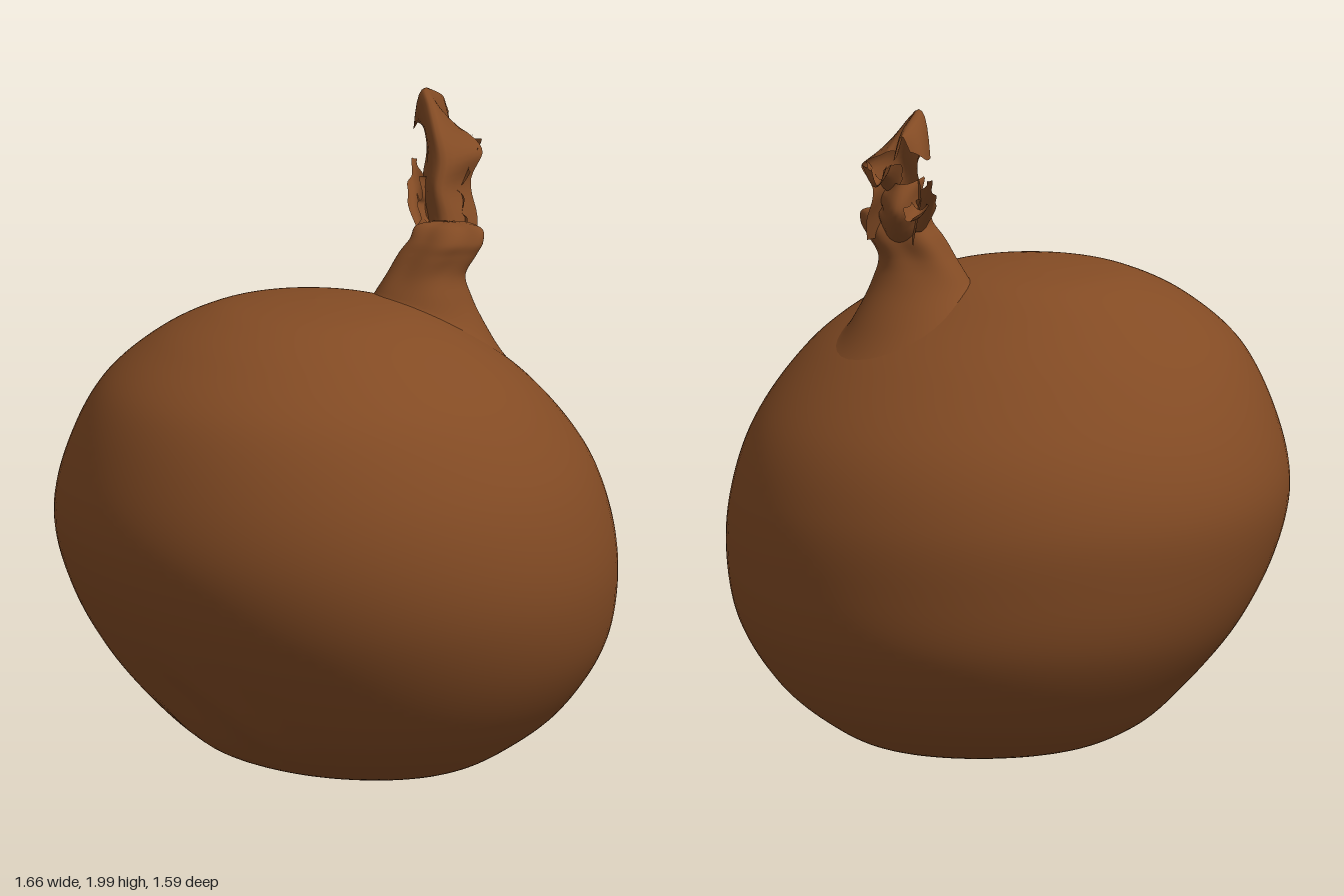
import * as THREE from 'three';

const skin = new THREE.MeshStandardMaterial({ color: 0x834b24 });
skin.name = 'brown skin';
const drySkin = skin.clone();
drySkin.name = 'dry brown skin';
drySkin.side = THREE.DoubleSide;

// Smooth sampling through rows of numbers
function sample(rows, t) {
  const f = Math.min(t, 0.99999) * (rows.length - 1);
  const i = Math.floor(f), s = f - i;
  const at = (k) => rows[Math.max(0, Math.min(rows.length - 1, k))];
  return rows[0].map((_, c) => {
    const a = at(i - 1)[c], b = at(i)[c], d = at(i + 1)[c], e = at(i + 2)[c];
    return b + 0.5 * s * (d - a + s * (2 * a - 5 * b + 4 * d - e + s * (3 * (b - d) + e - a)));
  });
}

// Grid surface; wrap joins the last column to the first
function grid(nu, nv, wrap, point) {
  const pos = [], index = [], cols = wrap ? nu : nu + 1;
  for (let j = 0; j <= nv; j++)
    for (let i = 0; i < cols; i++) pos.push(...point(i / nu, j / nv));
  for (let j = 0; j < nv; j++)
    for (let i = 0; i < nu; i++) {
      const k = (i + 1) % cols;
      const a = j * cols + i, b = j * cols + k, c = a + cols, d = b + cols;
      index.push(a, c, b, b, c, d);
    }
  const g = new THREE.BufferGeometry();
  g.setAttribute('position', new THREE.Float32BufferAttribute(pos, 3));
  g.setIndex(index);
  g.computeVertexNormals();
  return g;
}

// Stack of oval slices: [y, xMin, xMax, zMin, zMax]
function slices(rows, nu, nv, adjust) {
  return grid(nu, nv, true, (u, v) => {
    const [y, x0, x1, z0, z1] = sample(rows, v), a = u * Math.PI * 2;
    return adjust([
      (x0 + x1) / 2 + Math.cos(a) * (x1 - x0) / 2, y,
      (z0 + z1) / 2 + Math.sin(a) * (z1 - z0) / 2,
    ], a);
  });
}

// Curled papery strip: [x, y, z, halfWidth, edgeDropY, edgeDropZ]
function strip(rows, ragged = 0.007) {
  return grid(10, 36, false, (u, v) => {
    const [x, y, z, w, cy, cz] = sample(rows, v), s = u * 2 - 1;
    const wave = ragged * Math.sin(v * 17 + s * 2) * s * s;
    return [x + s * w + wave * Math.sign(s), y + cy * s * s + wave, z + cz * s * s];
  });
}

const bulb = [
  [0.003, 0.2, 0.2, -0.05, -0.05],
  [0.03, -0.2, 0.375, -0.33, 0.17],
  [0.1, -0.4, 0.515, -0.51, 0.35],
  [0.22, -0.54, 0.665, -0.65, 0.52],
  [0.4, -0.69, 0.785, -0.755, 0.66],
  [0.6, -0.79, 0.83, -0.787, 0.76],
  [0.8, -0.833, 0.815, -0.78, 0.795],
  [1.0, -0.79, 0.745, -0.7, 0.76],
  [1.2, -0.685, 0.6, -0.525, 0.66],
  [1.34, -0.53, 0.42, -0.35, 0.5],
  [1.42, -0.37, 0.25, -0.22, 0.35],
  [1.45, -0.22, 0.1, -0.08, 0.22],
  [1.46, -0.05, -0.05, 0.06, 0.06],
];

// Height of the upper bulb surface above a point, by halving
function bulbTop(x, z) {
  let lo = 0.5, hi = 1;
  for (let i = 0; i < 24; i++) {
    const mid = (lo + hi) / 2;
    const [, x0, x1, z0, z1] = sample(bulb, mid);
    const r = Math.hypot((2 * x - x0 - x1) / (x1 - x0), (2 * z - z0 - z1) / (z1 - z0));
    if (r < 1) lo = mid; else hi = mid;
  }
  return sample(bulb, lo)[0];
}

export function createModel() {
  const group = new THREE.Group();
  const add = (name, geometry, material) => {
    const mesh = new THREE.Mesh(geometry, material);
    mesh.name = name;
    group.add(mesh);
  };

  // Bulb, with shallow diagonal ridges around the root scar
  const root = new THREE.Vector3(-0.26, 0.24, 0.43);
  const out = new THREE.Vector3(-0.45, -0.65, 0.6).normalize();
  add('bulb', slices(bulb, 96, 96, ([x, y, z]) => {
    const d = Math.hypot(x - root.x, y - root.y, z - root.z);
    const ridge = Math.cos(22 * (x + y - 0.13));
    const h = 0.014 * Math.exp(-((d / 0.24) ** 4)) * ridge;
    return [x + out.x * h, Math.max(0, y + out.y * h), z + out.z * h];
  }), skin);

  // Neck whose foot melts into the bulb, with light pleats above
  const neck = [
    [1.25, -0.02, 0.5, -0.42, 0.04],
    [1.35, 0.03, 0.43, -0.335, -0.01],
    [1.43, 0.08, 0.375, -0.27, -0.05],
    [1.5, 0.125, 0.355, -0.245, -0.085],
    [1.56, 0.16, 0.385, -0.245, -0.1],
    [1.6, 0.19, 0.405, -0.24, -0.11],
    [1.64, 0.21, 0.395, -0.225, -0.145],
    [1.652, 0.29, 0.31, -0.195, -0.185],
  ];
  add('neck', slices(neck, 64, 56, ([x, y, z], a) => {
    const foot = bulbTop(x, z) - 0.005;
    const k = THREE.MathUtils.smoothstep(y, 1.25, 1.46);
    const pleat = 0.006 * Math.sin(a * 5) * THREE.MathUtils.smoothstep(y, 1.42, 1.55);
    return [
      x + pleat * Math.cos(a), foot + Math.max(0, y - foot) * k, z + pleat * Math.sin(a),
    ];
  }), skin);

  // Withered leaf hooking backwards into a hood
  add('mainLeaf', strip([
    [0.29, 1.56, -0.17, 0.07, 0, -0.1],
    [0.28, 1.65, -0.2, 0.08, 0, -0.13],
    [0.26, 1.74, -0.21, 0.07, 0, -0.15],
    [0.265, 1.82, -0.24, 0.085, -0.01, -0.16],
    [0.24, 1.9, -0.28, 0.07, -0.04, -0.17],
    [0.21, 1.96, -0.34, 0.06, -0.09, -0.12],
    [0.18, 1.995, -0.41, 0.05, -0.13, -0.04],
    [0.19, 1.965, -0.5, 0.05, -0.1, -0.02],
    [0.2, 1.94, -0.555, 0.02, -0.05, 0],
  ]), drySkin);

  // Folded back of the leaf base
  add('leafBase', strip([
    [0.28, 1.54, -0.21, 0.06, 0.02, 0.03],
    [0.27, 1.6, -0.31, 0.07, 0.04, 0.08],
    [0.26, 1.67, -0.365, 0.065, 0.02, 0.1],
    [0.25, 1.75, -0.33, 0.05, 0.01, 0.06],
  ]), drySkin);

  // Shreds of dry skin
  add('upperShred', strip([
    [0.29, 1.72, -0.3, 0.045, 0.05, 0],
    [0.3, 1.77, -0.37, 0.04, 0.05, 0],
    [0.3, 1.765, -0.46, 0.035, 0.06, 0],
    [0.28, 1.785, -0.525, 0.02, 0.05, 0],
  ]), drySkin);
  add('longShred', strip([
    [0.24, 1.62, -0.25, 0.03, 0.02, 0],
    [0.19, 1.68, -0.35, 0.022, 0.02, 0],
    [0.18, 1.675, -0.46, 0.032, 0.03, 0],
    [0.18, 1.685, -0.56, 0.012, 0.01, 0],
  ], 0.003), drySkin);
  add('sideShred', strip([
    [0.22, 1.59, -0.24, 0.03, 0.02, 0],
    [0.18, 1.66, -0.3, 0.03, 0.03, 0],
    [0.165, 1.72, -0.36, 0.02, 0.01, 0],
    [0.15, 1.78, -0.41, 0.006, 0, 0],
  ], 0.004), drySkin);

  return group;
}
